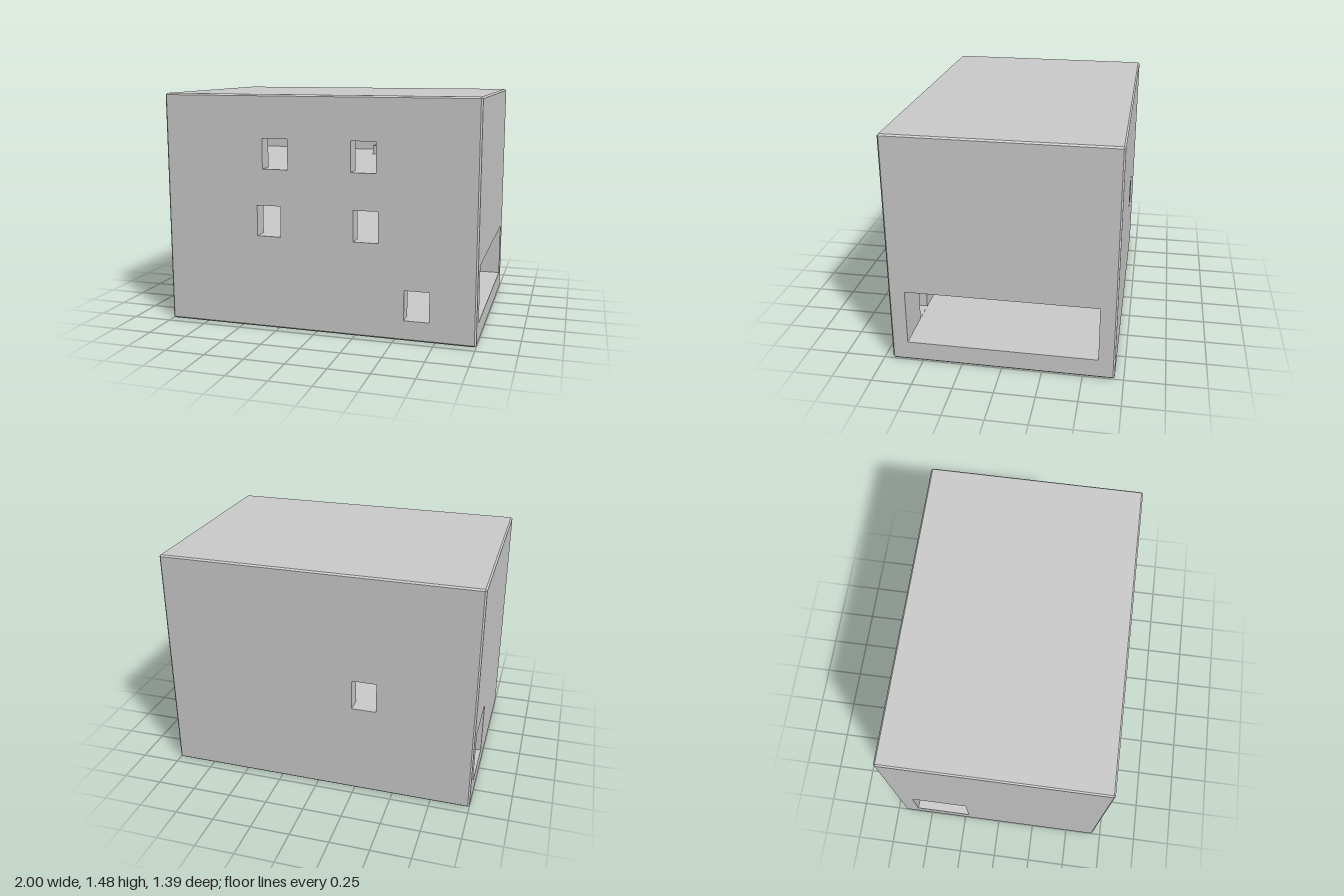
import * as THREE from 'three';

const W = 1, H = 1.48, D = 0.695, B = 0.01, T = 0.1; // half width, height, half depth, chamfer, wall
const mat = new THREE.MeshStandardMaterial({ color: 0xcccccc, flatShading: true });

function add(parent, name, geo) {
  const mesh = new THREE.Mesh(geo, mat);
  mesh.name = name;
  parent.add(mesh);
  return mesh;
}

// Box given by its lower and upper limits on each axis
function block(parent, name, x0, x1, y0, y1, z0, z1) {
  const mesh = add(parent, name, new THREE.BoxGeometry(x1 - x0, y1 - y0, z1 - z0));
  mesh.position.set((x0 + x1) / 2, (y0 + y1) / 2, (z0 + z1) / 2);
}

// Upright panel in the XY plane, extruded along +z, with rectangular openings [u0, u1, v0, v1]
function panel(u0, u1, v0, v1, depth, openings) {
  const rect = (path, a, b, c, d) => path.moveTo(a, c).lineTo(b, c).lineTo(b, d).lineTo(a, d).closePath();
  const shape = rect(new THREE.Shape(), u0, u1, v0, v1);
  for (const o of openings) shape.holes.push(rect(new THREE.Path(), ...o));
  return new THREE.ExtrudeGeometry(shape, { depth, bevelEnabled: false });
}

export function createModel() {
  const house = new THREE.Group();
  house.name = 'house';

  // Front and back walls with windows
  const w = W - B, d = D - B;
  const front = add(house, 'frontWall', panel(-w, w, B, H - B, T, [
    [-0.345, -0.18, 1.02, 1.21], [0.225, 0.38, 1.02, 1.21],
    [-0.385, -0.23, 0.595, 0.79], [0.24, 0.395, 0.595, 0.79],
    [0.56, 0.715, 0.127, 0.315],
  ]));
  front.position.z = D - T;
  const back = add(house, 'backWall', panel(-w, w, B, H - B, T, [[-0.385, -0.23, 0.595, 0.79]]));
  back.position.z = -D;

  // Side walls: panel u becomes -z after the quarter turn
  const left = add(house, 'leftWall', panel(-d, d, B, H - B, T, [[-0.593, 0.593, 0.126, 0.48]]));
  left.rotation.y = Math.PI / 2;
  left.position.x = W - T;
  const right = add(house, 'rightWall', panel(-d, d, B, H - B, T, [[0.22, 0.59, 0.126, 0.48]]));
  right.rotation.y = Math.PI / 2;
  right.position.x = -W;

  // Base, floors and roof
  const slabs = { base: [0, 0.125], firstFloor: [0.48, 0.594], secondFloor: [0.92, 1.019], roof: [1.37, H] };
  for (const [name, [y0, y1]] of Object.entries(slabs)) {
    const outer = name === 'base' || name === 'roof';
    if (!outer) block(house, name, -W + T, W - T, y0, y1, -D + T, D - T);
    else {
      // Outer skin reaches the chamfer, inner part fills the room
      const skin = name === 'base' ? [0, T] : [H - T, H];
      block(house, name + 'Skin', -w, w, ...skin, -d, d);
      block(house, name, -W + T, W - T, y0 + B, y1 - (name === 'roof' ? B : 0), -D + T, D - T);
    }
  }

  // Ground floor partitions
  const cross = add(house, 'crossWall', panel(0.04, D - T, 0.125, 0.48, T, [[0.33, 0.485, 0.126, 0.315]]));
  cross.rotation.y = Math.PI / 2;
  cross.position.x = -0.4;
  block(house, 'spineWall', -0.3, 0.35, 0.125, 0.48, -0.15, -0.04);
  block(house, 'middleWall', -0.5, -0.4, 0.125, 0.48, -0.04, 0.2);
  block(house, 'frontPartition', -0.4, 0.3, 0.125, 0.48, 0.2, 0.35);
  block(house, 'lowPartition', -0.1, 0, 0.125, 0.337, 0.35, D - T);

  // Low ledge on the top floor
  block(house, 'topLedge', 0.1, 0.5, 1.019, 1.08, -D + T, -0.3);

  // Chamfered edges: four-sided bars whose outer face cuts the corner
  const edges = new THREE.Group();
  edges.name = 'chamferedEdges';
  house.add(edges);
  const half = [w, H / 2 - B, d];
  for (let axis = 0; axis < 3; axis++) {
    const [a, b] = [(axis + 1) % 3, (axis + 2) % 3];
    for (const sa of [-1, 1]) for (const sb of [-1, 1]) {
      const bar = add(edges, 'edge', new THREE.CylinderGeometry(B, B, 2 * half[axis], 4, 1, true));
      if (axis === 0) bar.rotation.z = Math.PI / 2;
      if (axis === 2) bar.rotation.x = Math.PI / 2;
      const p = [0, 0, 0];
      p[a] = sa * half[a];
      p[b] = sb * half[b];
      bar.position.set(p[0], p[1] + H / 2, p[2]);
    }
  }
  for (const x of [-w, w]) for (const y of [B, H - B]) for (const z of [-d, d])
    add(edges, 'corner', new THREE.OctahedronGeometry(B)).position.set(x, y, z);

  return house;
}
